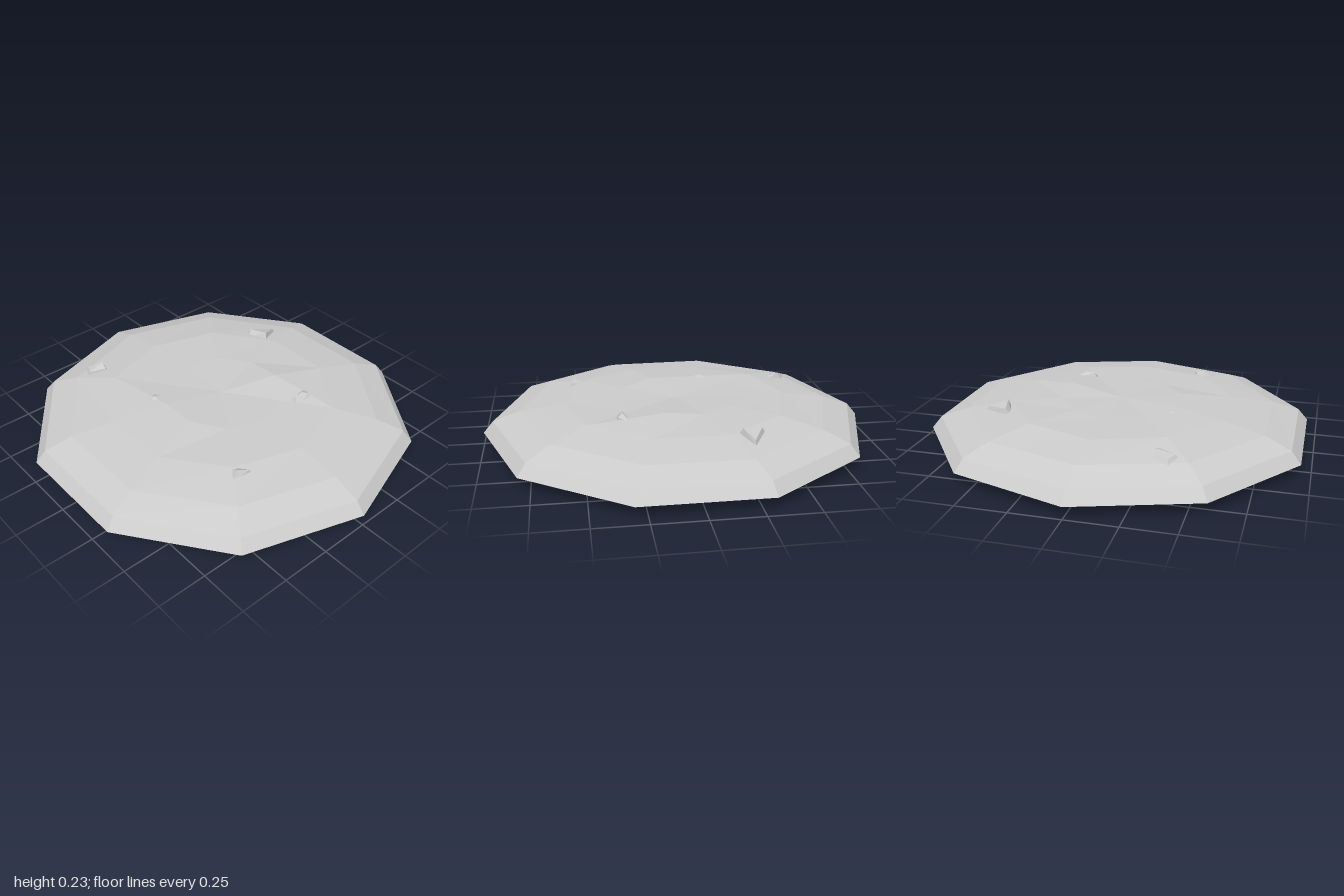
import * as THREE from 'three';
import { ConvexGeometry } from 'three/addons/geometries/ConvexGeometry.js';

const SIDES = 10;
const material = new THREE.MeshStandardMaterial({ color: 0xcccccc, flatShading: true });

// Rings from the top centre, over the rim, to the underside: [radius, height or heights per corner]
const RINGS = [
  [0.31, [0.205, 0.21, 0.222, 0.222, 0.206, 0.205, 0.21, 0.213, 0.229, 0.205]],
  [0.585, [0.2, 0.204, 0.196, 0.196, 0.205, 0.2, 0.204, 0.199, 0.2, 0.204]],
  [0.81, [0.17, 0.17, 0.165, 0.168, 0.168, 0.17, 0.168, 0.165, 0.168, 0.17]],
  [0.95, 0.12],
  [1, 0.06],
  [0.95, 0.043],
  [0.6, 0.016],
];
const TOP = 0.207;

// Loft the rings and close both ends with a fan
function discGeometry() {
  const pos = [0, TOP, 0];
  const index = [];
  for (const [r, h] of RINGS) {
    for (let k = 0; k < SIDES; k++) {
      const a = (k / SIDES) * Math.PI * 2;
      pos.push(r * Math.cos(a), Array.isArray(h) ? h[k] : h, r * Math.sin(a));
    }
  }
  pos.push(0, 0, 0);
  const last = pos.length / 3 - 1;
  const at = (ring, k) => 1 + ring * SIDES + (k % SIDES);
  for (let k = 0; k < SIDES; k++) {
    index.push(0, at(0, k + 1), at(0, k));
    for (let j = 0; j < RINGS.length - 1; j++) {
      const a = at(j, k), b = at(j, k + 1), c = at(j + 1, k + 1), d = at(j + 1, k);
      index.push(a, b, c, a, c, d);
    }
    index.push(last, at(RINGS.length - 1, k), at(RINGS.length - 1, k + 1));
  }
  const g = new THREE.BufferGeometry();
  g.setAttribute('position', new THREE.Float32BufferAttribute(pos, 3));
  g.setIndex(index);
  const flat = g.toNonIndexed();
  flat.computeVertexNormals();
  return flat;
}

// Faceted chips half sunk in the top: corners as [x, y, z]
const CHIPS = [
  [[-0.36, 0.18, -0.51], [-0.28, 0.18, -0.65], [-0.22, 0.18, -0.53], [-0.33, 0.18, -0.49],
    [-0.34, 0.215, -0.52], [-0.28, 0.2, -0.635], [-0.24, 0.228, -0.545]],
  [[0.26, 0.2, -0.36], [0.34, 0.19, -0.31], [0.335, 0.19, -0.22], [0.29, 0.19, -0.22],
    [0.3, 0.234, -0.29], [0.325, 0.225, -0.315], [0.3, 0.23, -0.24]],
  [[-0.24, 0.2, 0.27], [-0.16, 0.2, 0.22], [-0.1, 0.2, 0.3], [-0.18, 0.19, 0.37],
    [-0.18, 0.23, 0.305]],
  [[0.43, 0.18, 0.35], [0.55, 0.18, 0.28], [0.53, 0.17, 0.42], [0.52, 0.222, 0.35],
    [0.54, 0.21, 0.3]],
  [[-0.71, 0.15, 0.4], [-0.67, 0.16, 0.31], [-0.58, 0.17, 0.32], [-0.63, 0.15, 0.44],
    [-0.68, 0.185, 0.385], [-0.635, 0.213, 0.32], [-0.625, 0.19, 0.41], [-0.59, 0.195, 0.33]],
];

export function createModel() {
  const group = new THREE.Group();
  group.name = 'lowPolyDisc';

  const disc = new THREE.Mesh(discGeometry(), material);
  disc.name = 'disc';
  group.add(disc);

  const chips = new THREE.Group();
  chips.name = 'chips';
  for (const corners of CHIPS) {
    const points = corners.map((p) => new THREE.Vector3(...p));
    const chip = new THREE.Mesh(new ConvexGeometry(points), material);
    chip.name = 'chip';
    chips.add(chip);
  }
  group.add(chips);
  return group;
}
